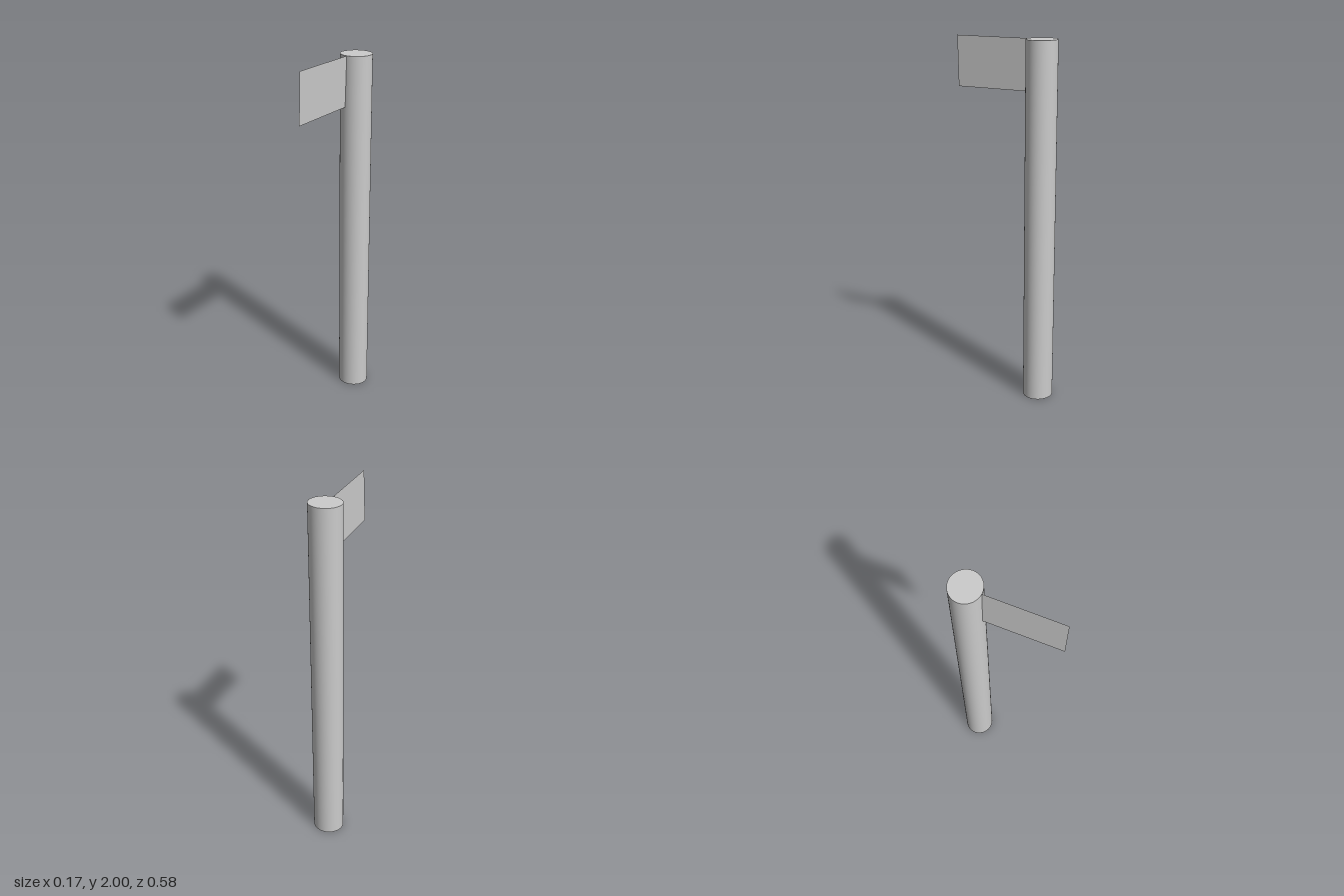
import * as THREE from 'three';

export function createModel() {
  const group = new THREE.Group();
  const material = new THREE.MeshStandardMaterial({ color: 0xcccccc });
  const sheetMaterial = new THREE.MeshStandardMaterial({ color: 0xcccccc, side: THREE.DoubleSide });

  // Upright post, slightly oval in plan
  const postGeometry = new THREE.CylinderGeometry(1, 1, 2, 64);
  postGeometry.scale(0.0865, 1, 0.083);
  const post = new THREE.Mesh(postGeometry, material);
  post.name = 'post';
  post.position.set(0, 1, -0.207);
  group.add(post);

  // Thin flag sheet, set into the post and leaning slightly off vertical
  const top = 2, bottom = 1.727, back = -0.257, front = 0.29;
  const flagGeometry = new THREE.PlaneGeometry(front - back, top - bottom);
  flagGeometry.rotateY(-Math.PI / 2);
  flagGeometry.rotateZ(-Math.atan2(0.009, top - bottom));
  const flag = new THREE.Mesh(flagGeometry, sheetMaterial);
  flag.name = 'flag';
  flag.position.set(-0.0115, (top + bottom) / 2, (front + back) / 2);
  group.add(flag);

  return group;
}
